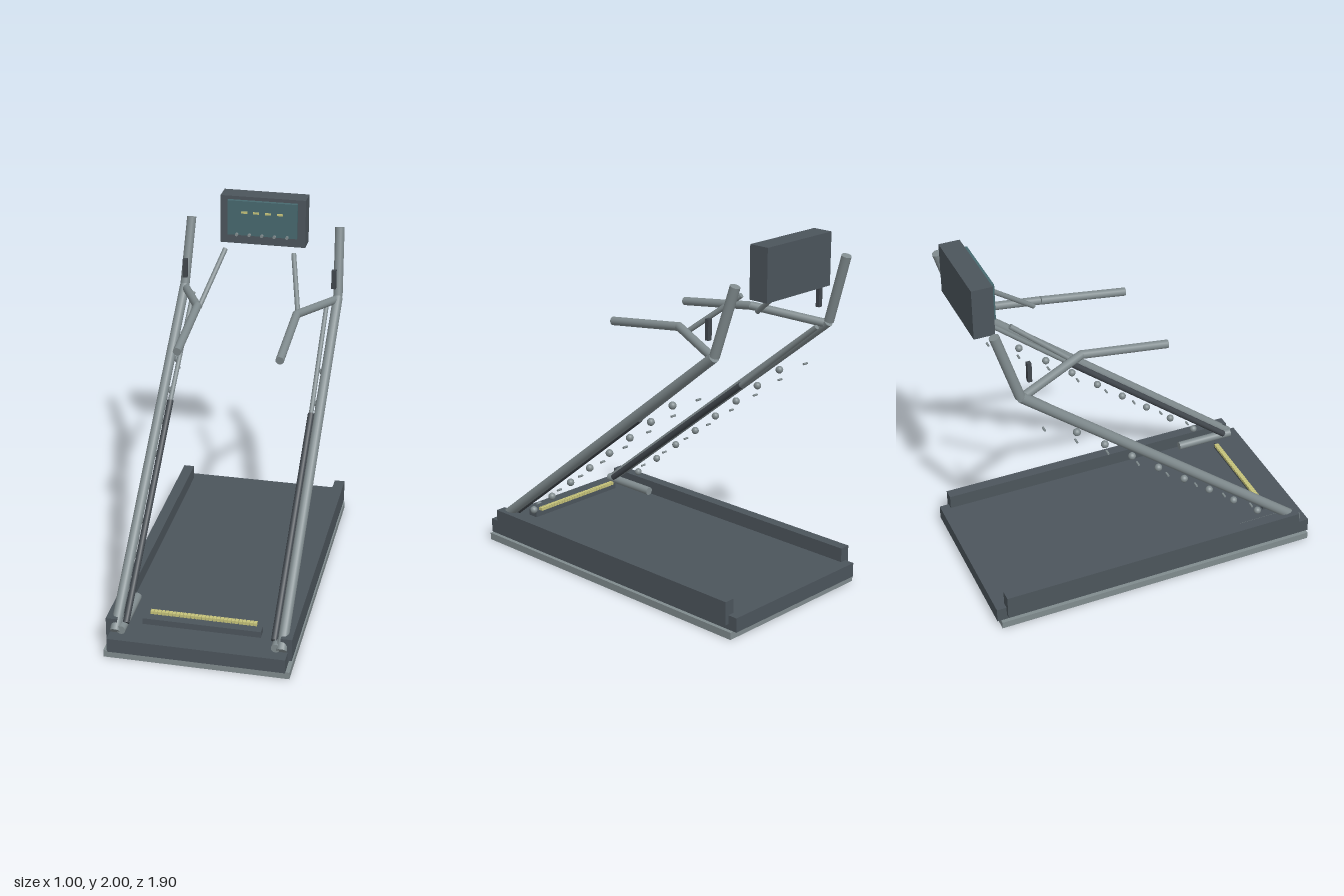
import * as THREE from 'three';

const mat = (name, color) => {
  const m = new THREE.MeshStandardMaterial({ color });
  m.name = name;
  return m;
};

export function createModel() {
  const slate = mat('slate', 0x4c555c);
  const steel = mat('steel', 0x808b8e);
  const charcoal = mat('charcoal', 0x41474d);
  const teal = mat('teal', 0x47696f);
  const yellow = mat('yellow', 0xc6c37a);

  const root = new THREE.Group();
  root.name = 'treadmill';

  const add = (parent, name, geometry, material) => {
    const mesh = new THREE.Mesh(geometry, material);
    mesh.name = name;
    parent.add(mesh);
    return mesh;
  };
  // Box given by its [min, max] extents on each axis
  const box = (parent, name, [x0, x1], [y0, y1], [z0, z1], material) => {
    const mesh = add(parent, name, new THREE.BoxGeometry(x1 - x0, y1 - y0, z1 - z0), material);
    mesh.position.set((x0 + x1) / 2, (y0 + y1) / 2, (z0 + z1) / 2);
    return mesh;
  };
  // Straight round bar between two points
  const rod = (parent, name, a, b, r, material) => {
    const p = new THREE.Vector3(...a), q = new THREE.Vector3(...b);
    const d = q.clone().sub(p);
    const mesh = add(parent, name, new THREE.CylinderGeometry(r, r, d.length(), 16), material);
    mesh.position.copy(p).add(q).multiplyScalar(0.5);
    mesh.quaternion.setFromUnitVectors(new THREE.Vector3(0, 1, 0), d.normalize());
    return mesh;
  };

  // Base
  box(root, 'bottomPlate', [-0.5, 0.5], [0, 0.04], [-0.93, 0.94], steel);
  box(root, 'deck', [-0.478, 0.478], [0.04, 0.12], [-0.95, 0.95], slate);

  // Front step with a toothed grip strip
  box(root, 'frontStep', [-0.32, 0.32], [0.14, 0.175], [0.74, 0.8], slate);
  for (let i = 0; i < 29; i++) {
    const x = -0.28 + i * 0.02;
    box(root, 'gripTooth', [x - 0.0085, x + 0.0085], [0.175, 0.192], [0.725, 0.75], yellow);
  }

  // Frame parts, mirrored left and right
  for (const s of [1, -1]) {
    const side = new THREE.Group();
    side.name = s > 0 ? 'leftFrame' : 'rightFrame';
    root.add(side);
    const at = (x, y, z) => [s * x, y, z];
    const sideX = (a, b) => (s > 0 ? [a, b] : [-b, -a]);

    box(side, 'sideRail', sideX(0.44, 0.5), [0.07, 0.2], [-0.895, 0.877], slate);
    rod(side, 'footTube', at(0.415, 0.145, 0.89), at(0.415, 0.145, 0.55), 0.024, steel);
    rod(side, 'slopedUpright', at(0.447, 0.135, 0.89), at(0.447, 1.455, -0.75), 0.028, steel);
    rod(side, 'upperUpright', at(0.447, 1.46, -0.755), at(0.43, 1.835, -0.87), 0.027, steel);

    // Strut beside the upright
    rod(side, 'strutSleeve', at(0.4, 0.16, 0.84), at(0.4, 0.985, -0.185), 0.018, charcoal);
    rod(side, 'strutRod', at(0.4, 0.985, -0.185), at(0.39, 1.43, -0.72), 0.013, steel);

    // Bent handle and console brace
    rod(side, 'handleArm', at(0.435, 1.447, -0.735), at(0.28, 1.5, -0.355), 0.023, steel);
    rod(side, 'handleGrip', at(0.28, 1.5, -0.36), at(0.278, 1.433, 0.13), 0.023, steel);
    rod(side, 'consoleBrace', at(0.28, 1.475, -0.4), at(0.197, 1.715, -0.705), 0.014, steel);
    box(side, 'pulseSensor', sideX(0.417, 0.443), [1.53, 1.64], [-0.708, -0.686], charcoal);

    // Rows of rollers and pins under the upright
    for (let i = 0; i < 8; i++) {
      const t = i / 7;
      const ball = add(side, 'roller', new THREE.SphereGeometry(0.021, 14, 10), steel);
      ball.position.set(s * 0.42, 0.243 + 0.884 * t, 0.646 - 1.09 * t);
      const y = 0.296 + 0.905 * t, z = 0.603 - 1.227 * t;
      rod(side, 'pin', at(0.405, y, z), at(0.435, y, z), 0.006, steel);
    }
  }

  // Console
  box(root, 'console', [-0.245, 0.245], [1.72, 2], [-0.913, -0.8], slate);
  box(root, 'screen', [-0.2, 0.2], [1.777, 1.98], [-0.8, -0.777], teal);
  for (const x of [-0.102, -0.034, 0.034, 0.102]) {
    box(root, 'displayMark', [x - 0.017, x + 0.017], [1.909, 1.92], [-0.778, -0.77], yellow);
  }
  for (let i = -2; i <= 2; i++) {
    const x = i * 0.0725;
    rod(root, 'button', [x, 1.783, -0.778], [x, 1.783, -0.762], 0.009, steel);
  }
  return root;
}
